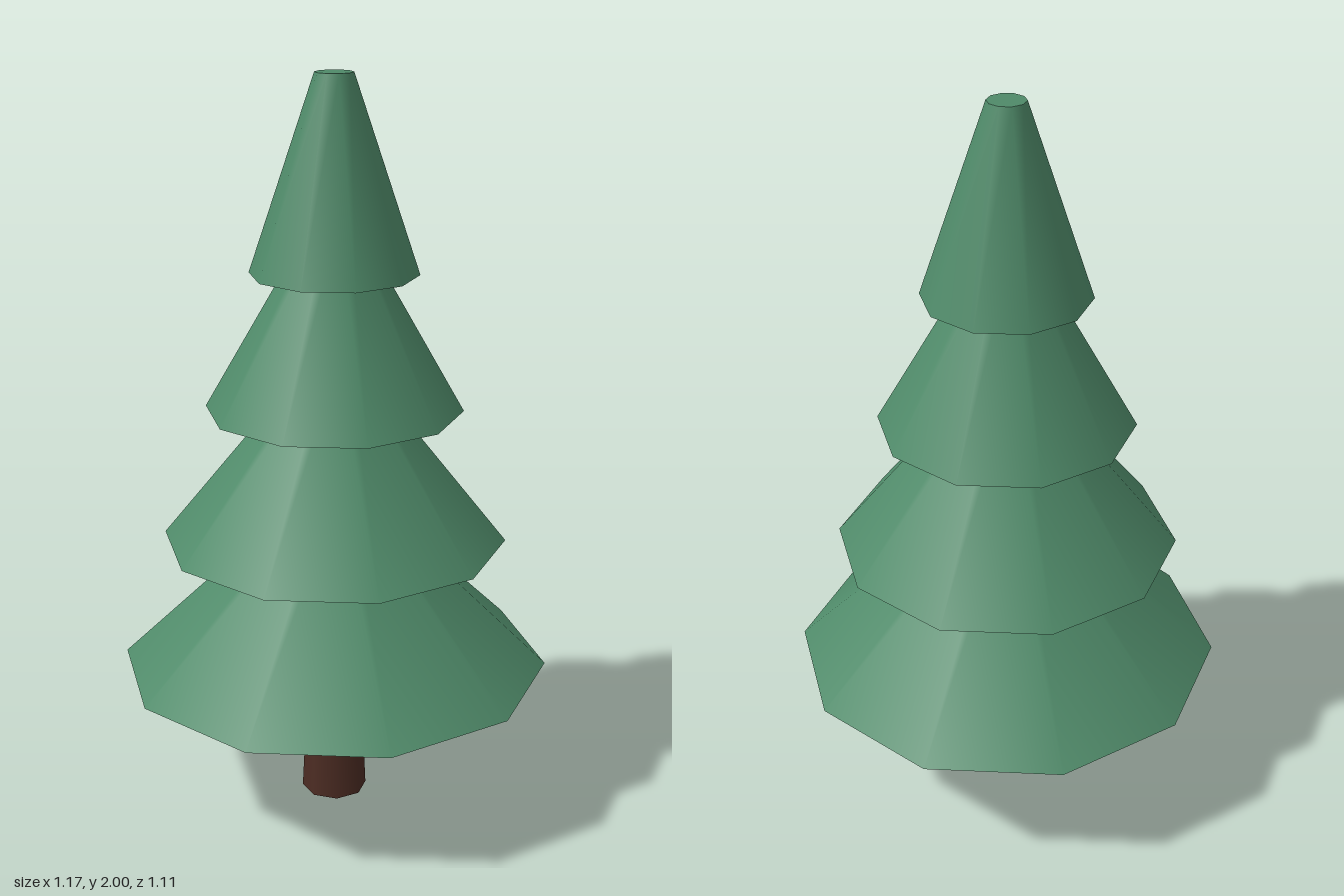
import * as THREE from 'three';

export function createModel() {
  const tree = new THREE.Group();
  tree.name = 'pineTree';

  const needles = new THREE.MeshStandardMaterial({ color: 0x4f8a69 });
  needles.name = 'needleGreen';
  const bark = new THREE.MeshStandardMaterial({ color: 0x4c2c23 });
  bark.name = 'barkBrown';

  // Tapered eight-sided trunk, ending just inside the lowest tier
  const trunkHeight = 0.42;
  const trunk = new THREE.Mesh(new THREE.CylinderGeometry(0.07, 0.09, trunkHeight, 8), bark);
  trunk.name = 'trunk';
  trunk.position.y = trunkHeight / 2;
  tree.add(trunk);

  // Four overlapping ten-sided tiers, each narrower than the one below
  const tiers = 4, tierHeight = 0.51, tipRadius = 0.05;
  const firstBase = 0.4, lastBase = 2 - tierHeight;
  for (let i = 0; i < tiers; i++) {
    const t = i / (tiers - 1);
    const radius = THREE.MathUtils.lerp(0.584, 0.222, t);
    // Corners point along x
    const geometry = new THREE.CylinderGeometry(tipRadius, radius, tierHeight, 10, 1, false, Math.PI / 2);
    const tier = new THREE.Mesh(geometry, needles);
    tier.name = `branchTier${i + 1}`;
    tier.position.y = THREE.MathUtils.lerp(firstBase, lastBase, t) + tierHeight / 2;
    tree.add(tier);
  }

  return tree;
}
